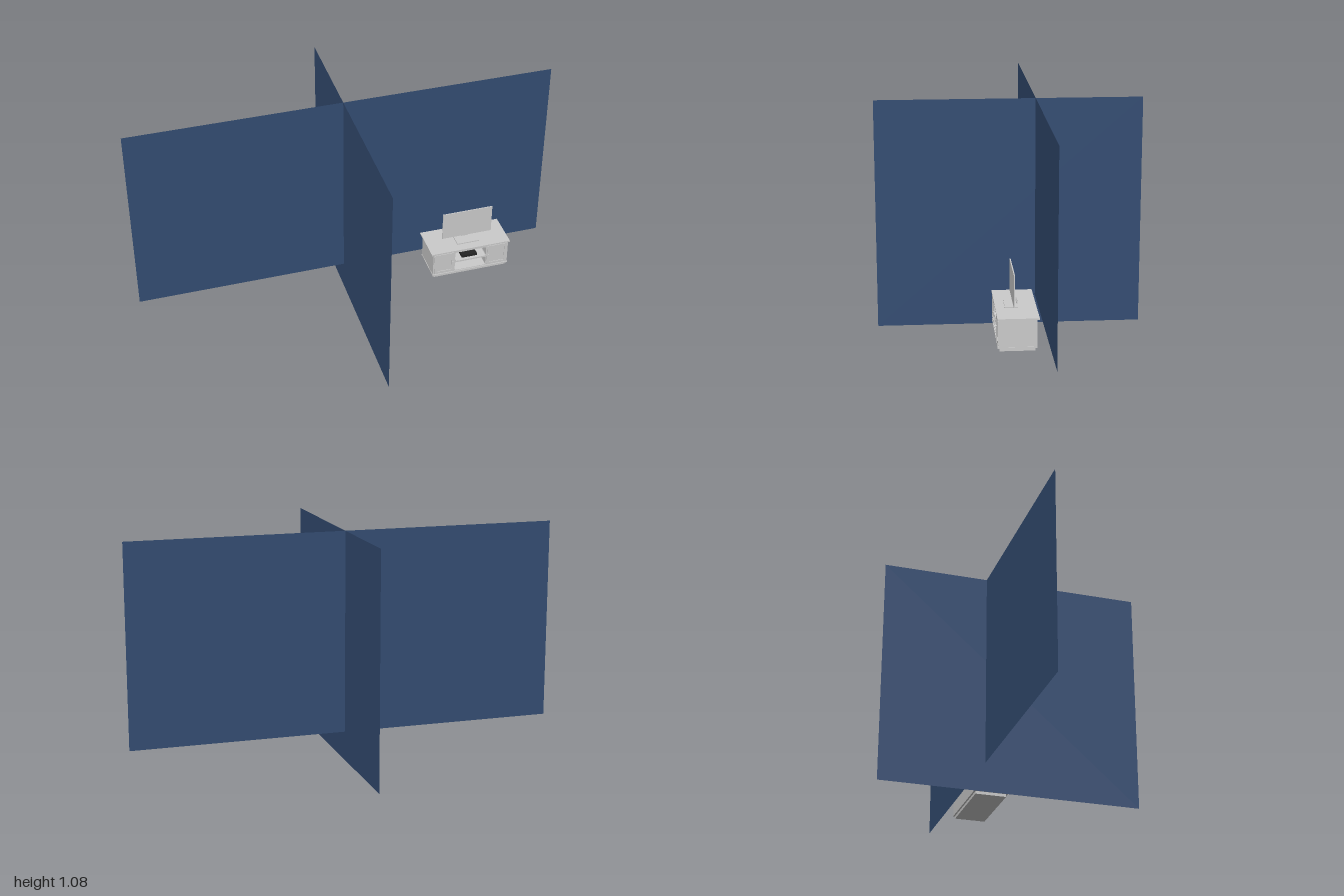
import * as THREE from 'three';

const grey = new THREE.MeshStandardMaterial({ color: 0xcccccc });
const dark = new THREE.MeshStandardMaterial({ color: 0x222222 });
const blue = new THREE.MeshStandardMaterial({ color: 0x344d73, side: THREE.DoubleSide });

function add(parent, name, geometry, material = grey) {
  const mesh = new THREE.Mesh(geometry, material);
  mesh.name = name;
  parent.add(mesh);
  return mesh;
}

// Box given by its limits on each axis
function box(parent, name, [x0, x1], [y0, y1], [z0, z1], material) {
  const mesh = add(parent, name, new THREE.BoxGeometry(x1 - x0, y1 - y0, z1 - z0), material);
  mesh.position.set((x0 + x1) / 2, (y0 + y1) / 2, (z0 + z1) / 2);
  return mesh;
}

function roundedRect(path, x0, x1, y0, y1, r) {
  path.absarc(x1 - r, y1 - r, r, 0, Math.PI / 2);
  path.absarc(x0 + r, y1 - r, r, Math.PI / 2, Math.PI);
  path.absarc(x0 + r, y0 + r, r, Math.PI, Math.PI * 1.5);
  path.absarc(x1 - r, y0 + r, r, Math.PI * 1.5, Math.PI * 2);
  path.closePath();
  return path;
}

function extrude(shape, depth) {
  return new THREE.ExtrudeGeometry(shape, { depth, bevelEnabled: false, curveSegments: 5 });
}

function makeWalls() {
  const walls = new THREE.Group();
  walls.name = 'walls';
  const back = add(walls, 'backWall', new THREE.PlaneGeometry(2, 0.937), blue);
  back.position.set(0, 0.6065, -0.122);
  const side = add(walls, 'crossWall', new THREE.PlaneGeometry(1.23, 1.075), blue);
  side.position.y = 0.5375;
  side.rotation.y = Math.PI / 2;
  return walls;
}

function makeCabinet() {
  const cabinet = new THREE.Group();
  cabinet.name = 'cabinet';
  const cx = 0.568;

  // Carcass with two open niches in the middle
  const shape = new THREE.Shape();
  shape.moveTo(0.38, 0.158).lineTo(0.757, 0.158).lineTo(0.757, 0.278).lineTo(0.38, 0.278);
  shape.holes.push(
    roundedRect(new THREE.Path(), 0.49, 0.646, 0.217, 0.268, 0.008),
    roundedRect(new THREE.Path(), 0.49, 0.646, 0.162, 0.209, 0.005),
  );
  add(cabinet, 'carcass', extrude(shape, 0.155)).position.z = -0.055;
  box(cabinet, 'backPanel', [0.38, 0.757], [0.158, 0.278], [-0.063, -0.055]);

  // Top, lower moulding and plinth
  box(cabinet, 'top', [0.37, 0.764], [0.278, 0.285], [-0.073, 0.105]);
  box(cabinet, 'moulding', [0.378, 0.759], [0.152, 0.158], [-0.064, 0.104]);
  box(cabinet, 'plinth', [0.386, 0.75], [0.138, 0.152], [-0.056, 0.095]);

  // Doors with framed panels and knobs
  for (const s of [-1, 1]) {
    const door = new THREE.Group();
    door.name = s < 0 ? 'rightDoor' : 'leftDoor';
    door.position.x = cx + s * 0.133;
    const frame = roundedRect(new THREE.Shape(), -0.049, 0.049, 0.163, 0.273, 0.002);
    frame.holes.push(roundedRect(new THREE.Path(), -0.038, 0.038, 0.174, 0.262, 0.003));
    add(door, 'doorFrame', extrude(frame, 0.003)).position.z = 0.1;
    const knob = add(door, 'doorKnob', new THREE.SphereGeometry(0.003, 10, 8));
    knob.position.set(-s * 0.043, 0.22, 0.104);
    cabinet.add(door);
  }

  // Media box on the shelf
  box(cabinet, 'mediaBox', [0.53, 0.606], [0.217, 0.23], [0.02, 0.085], dark);
  return cabinet;
}

function makeTelevision() {
  const tv = new THREE.Group();
  tv.name = 'television';
  box(tv, 'screen', [0.446, 0.692], [0.31, 0.453], [0.026, 0.031]);
  box(tv, 'standBase', [0.512, 0.622], [0.285, 0.29], [0.007, 0.064]);

  // Bent neck, drawn as a side profile (z, y) and extruded along x
  const neck = new THREE.Shape();
  neck.moveTo(0.006, 0.289).lineTo(0.006, 0.3);
  neck.quadraticCurveTo(0.007, 0.312, 0.028, 0.312);
  neck.lineTo(0.028, 0.307);
  neck.quadraticCurveTo(0.012, 0.307, 0.011, 0.299);
  neck.lineTo(0.011, 0.289);
  const mesh = add(tv, 'standNeck', extrude(neck, 0.036));
  mesh.rotation.y = -Math.PI / 2;
  mesh.position.x = 0.585;
  return tv;
}

export function createModel() {
  const model = new THREE.Group();
  model.name = 'televisionCorner';
  model.add(makeWalls(), makeCabinet(), makeTelevision());
  return model;
}
